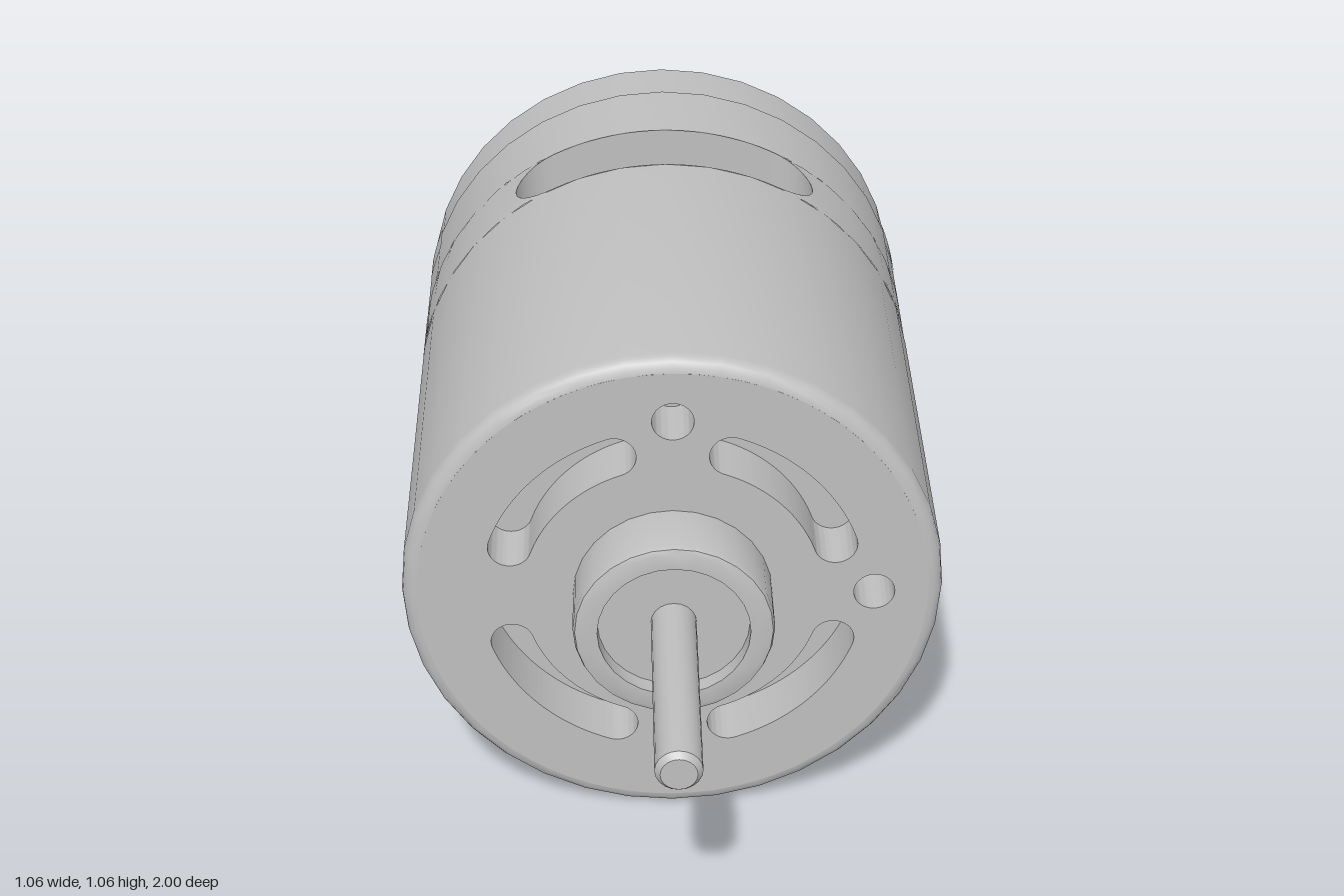
import * as THREE from 'three';
import { toCreasedNormals } from 'three/addons/utils/BufferGeometryUtils.js';

const R = 0.528;                      // can radius
const SLOT_Z = -0.44, SLOT_R = 0.08, SLOT_X = 0.235, SLOT_FLOOR = 0.32;

export function createModel() {
  const root = new THREE.Group();
  root.name = 'electricMotor';
  const motor = new THREE.Group();
  motor.name = 'motor';
  motor.position.y = R;
  root.add(motor);
  const steel = new THREE.MeshStandardMaterial({ color: 0xbfbfbf, side: THREE.DoubleSide });
  steel.name = 'steel grey';

  function add(name, geometry, parent = motor) {
    const mesh = new THREE.Mesh(geometry, steel);
    mesh.name = name;
    parent.add(mesh);
    return mesh;
  }

  // Turned part along z; profile is [radius, z] from back to front
  function turned(name, profile, sides) {
    const g = new THREE.LatheGeometry(profile.map(([r, z]) => new THREE.Vector2(r, z)), sides);
    g.rotateX(Math.PI / 2);
    return add(name, toCreasedNormals(g, 0.6));
  }

  // Surface sampled from fn(u, v) -> [x, y, z]
  function grid(nu, nv, fn) {
    const pos = [], index = [];
    for (let i = 0; i <= nu; i++) for (let j = 0; j <= nv; j++) pos.push(...fn(i / nu, j / nv));
    for (let i = 0; i < nu; i++) for (let j = 0; j < nv; j++) {
      const a = i * (nv + 1) + j, b = a + nv + 1;
      index.push(a, b, b + 1, a, b + 1, a + 1);
    }
    const g = new THREE.BufferGeometry();
    g.setAttribute('position', new THREE.Float32BufferAttribute(pos, 3));
    g.setIndex(index);
    g.computeVertexNormals();
    return g;
  }

  // Rear cap and the part of the can behind the side slots
  turned('rearCap', [[0, -0.835], [0.523, -0.835], [0.523, -0.71], [R, -0.71], [R, SLOT_Z - SLOT_R]], 36);

  // Front of the can with a rounded edge
  const front = [[R, SLOT_Z + SLOT_R]];
  for (let i = 0; i <= 4; i++) {
    const a = (i / 4) * Math.PI / 2;
    front.push([R - 0.03 + 0.03 * Math.cos(a), 0.41 + 0.03 * Math.sin(a)]);
  }
  turned('can', front, 36);

  // Can wall between the top and bottom slots
  for (const side of [1, -1]) {
    add('canSideWall', grid(12, 16, (u, v) => {
      const x = SLOT_X + SLOT_R * Math.sin(Math.PI * u);
      const t = Math.acos(x / R) * (2 * v - 1) * side;
      return [side * R * Math.cos(t), R * Math.sin(t), SLOT_Z - SLOT_R * Math.cos(Math.PI * u)];
    }));
  }

  // Top and bottom slots: upright walls and a flat floor
  const stadium = new THREE.Shape();
  stadium.absarc(SLOT_X, 0, SLOT_R, -Math.PI / 2, Math.PI / 2, false);
  stadium.absarc(-SLOT_X, 0, SLOT_R, Math.PI / 2, Math.PI * 1.5, false);
  stadium.closePath();
  const rim = stadium.getSpacedPoints(72);
  for (const turn of [0, Math.PI]) {
    const slot = new THREE.Group();
    slot.name = 'sideSlot';
    slot.rotation.z = turn;
    slot.position.z = SLOT_Z;
    motor.add(slot);
    add('slotWall', grid(72, 1, (u, v) => {
      const p = rim[Math.round(u * 72)];
      const top = Math.sqrt(R * R - p.x * p.x);
      return [p.x, v ? top : SLOT_FLOOR, -p.y];
    }), slot);
    add('slotFloor', new THREE.ShapeGeometry(stadium, 16).rotateX(-Math.PI / 2), slot)
      .position.y = SLOT_FLOOR;
  }

  // Front plate with four curved vents and two screw holes
  const plate = new THREE.Shape();
  plate.absarc(0, 0, R - 0.03, 0, Math.PI * 2, false);
  const ventR = 0.334, half = 0.042;
  for (let k = 0; k < 4; k++) {
    const a = k * Math.PI / 2 + 0.34, b = (k + 1) * Math.PI / 2 - 0.34;
    const vent = new THREE.Path();
    vent.absarc(0, 0, ventR + half, a, b, false);
    vent.absarc(ventR * Math.cos(b), ventR * Math.sin(b), half, b, b + Math.PI, false);
    vent.absarc(0, 0, ventR - half, b, a, true);
    vent.absarc(ventR * Math.cos(a), ventR * Math.sin(a), half, a + Math.PI, a + Math.PI * 2, false);
    vent.closePath();
    plate.holes.push(vent);
  }
  for (const [x, y] of [[0.393, 0], [0, 0.393]]) {
    const hole = new THREE.Path();
    hole.absarc(x, y, 0.04, 0, Math.PI * 2, true);
    plate.holes.push(hole);
  }
  const plateGeo = new THREE.ExtrudeGeometry(plate, { depth: 0.12, bevelEnabled: false, curveSegments: 36 });
  add('frontPlate', toCreasedNormals(plateGeo, 0.6)).position.z = 0.32;
  add('ventFloor', new THREE.CircleGeometry(R - 0.03, 36)).position.z = 0.32;

  // Front bearing housing with its recess, rear housing, and shaft
  turned('frontBearing', [[0.194, 0.44], [0.194, 0.555], [0.19, 0.566], [0.18, 0.57],
    [0.147, 0.57], [0.147, 0.535], [0, 0.535]], 28);
  turned('rearBearing', [[0, -0.96], [0.194, -0.96], [0.194, -0.835]], 28);
  turned('frontShaft', [[0.044, 0.53], [0.044, 0.988], [0.034, 1], [0, 1]], 20);
  turned('rearShaft', [[0, -1], [0.036, -1], [0.044, -0.992], [0.044, -0.95]], 20);

  // Small locking tabs reaching forward from the cap seam
  for (const mid of [0.3, Math.PI - 0.3, Math.PI + 0.3, -0.3]) {
    add('lockingTab', grid(6, 1, (u, v) => {
      const t = mid + (u - 0.5) * 0.16;
      return [(R + 0.002) * Math.cos(t), (R + 0.002) * Math.sin(t), -0.71 + 0.09 * v];
    }));
  }

  // Rear terminals: upright blades with a window (shape x runs backwards)
  const blade = new THREE.Shape();
  blade.moveTo(-0.02, -0.072);
  blade.lineTo(0.11, -0.072);
  blade.quadraticCurveTo(0.14, -0.072, 0.14, -0.042);
  blade.lineTo(0.14, 0.042);
  blade.quadraticCurveTo(0.14, 0.072, 0.11, 0.072);
  blade.lineTo(-0.02, 0.072);
  blade.closePath();
  const windowHole = new THREE.Path();
  windowHole.moveTo(0.045, -0.045);
  windowHole.lineTo(0.045, 0.045);
  windowHole.lineTo(0.108, 0.045);
  windowHole.lineTo(0.108, -0.045);
  windowHole.closePath();
  blade.holes.push(windowHole);
  const bladeGeo = new THREE.ExtrudeGeometry(blade, { depth: 0.022, bevelEnabled: false, curveSegments: 5 });
  bladeGeo.translate(0, 0, -0.011).rotateY(Math.PI / 2);
  for (const side of [1, -1]) {
    add(side > 0 ? 'leftTerminal' : 'rightTerminal', bladeGeo).position.set(side * 0.431, -0.006, -0.835);
  }

  return root;
}
